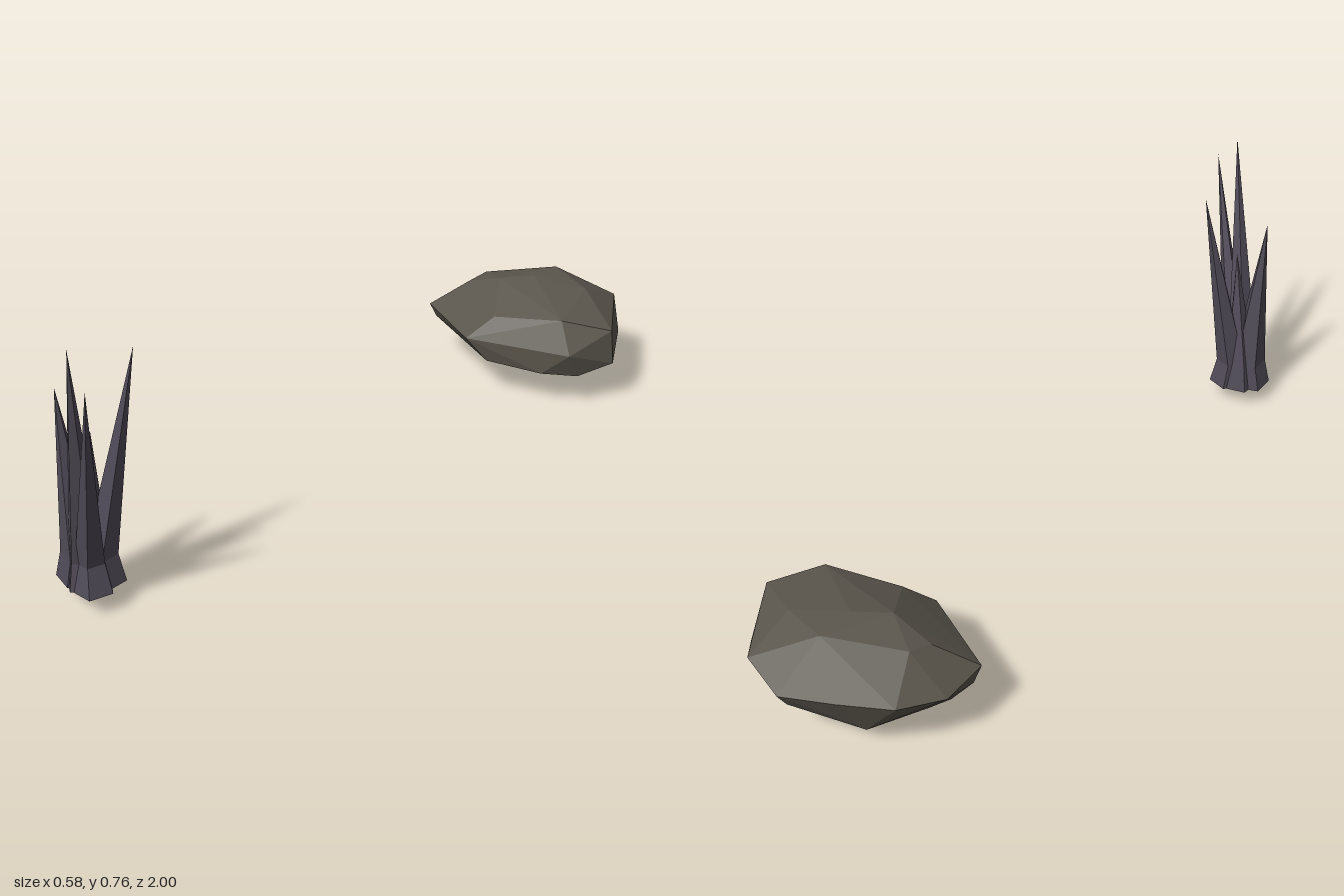
import * as THREE from 'three';
import { ConvexGeometry } from 'three/addons/geometries/ConvexGeometry.js';

const FOOT_Y = 0.055;
const NECK_Y = 0.13;

// Five-sided spike: flared foot, narrow neck, then a long leaning point.
function spikeGeometry([x, z], footRadius, neckRadius, tip, turn) {
  const cone = new THREE.CylinderGeometry(0, 1, 2, 5, 2);
  cone.rotateY(turn);
  const p = cone.attributes.position;
  // neck shifts slightly toward the middle of the clump
  const nx = x + (-0.15 - x) * 0.3;
  const nz = z + (0.86 - z) * 0.2;
  for (let i = 0; i < p.count; i++) {
    const px = p.getX(i), py = p.getY(i), pz = p.getZ(i);
    if (py > 0.5) p.setXYZ(i, ...tip);
    else if (py > -0.5) p.setXYZ(i, nx + px * 2 * neckRadius, NECK_Y, nz + pz * 2 * neckRadius);
    else p.setXYZ(i, x + px * footRadius, FOOT_Y, z + pz * footRadius);
  }
  const flat = cone.toNonIndexed();
  flat.computeVertexNormals();
  return flat;
}

export function createModel() {
  const model = new THREE.Group();
  model.name = 'rockAndSpikes';

  const stone = new THREE.MeshStandardMaterial({ color: 0x5b564d });
  stone.name = 'brown grey stone';
  const thorn = new THREE.MeshStandardMaterial({ color: 0x504b57 });
  thorn.name = 'purple grey thorn';

  // Faceted boulder
  const corners = [
    // underside
    [-0.01, 0.002, -0.77], [-0.19, 0.045, -0.73], [0.14, 0.065, -0.70],
    [0.1, 0.055, -0.87], [-0.12, 0.06, -0.88],
    // right end
    [0.28, 0.225, -0.75], [0.29, 0.125, -0.75], [0.23, 0.1, -0.66],
    [0.225, 0.177, -0.62], [0.225, 0.16, -0.88],
    // front
    [0.175, 0.262, -0.65], [0.145, 0.105, -0.6], [-0.015, 0.24, -0.59],
    [-0.07, 0.177, -0.53], [-0.015, 0.11, -0.56],
    // left end
    [-0.29, 0.175, -0.65], [-0.28, 0.13, -0.67], [-0.25, 0.1, -0.72],
    [-0.285, 0.17, -0.78], [-0.22, 0.19, -0.89],
    // back
    [-0.1, 0.2, -0.96], [0.04, 0.18, -1.0], [0.15, 0.22, -0.97], [0.05, 0.115, -0.96],
    // top
    [-0.2, 0.25, -0.72], [-0.18, 0.265, -0.78], [-0.09, 0.293, -0.72],
    [-0.01, 0.302, -0.78], [0.13, 0.28, -0.84], [0, 0.298, -0.88],
  ].map((c) => new THREE.Vector3(...c));
  const boulder = new THREE.Mesh(new ConvexGeometry(corners), stone);
  boulder.name = 'boulder';
  model.add(boulder);

  // Clump of spikes: foot centre (x, z), foot radius, neck radius, tip, turn
  const clump = new THREE.Group();
  clump.name = 'spikeClump';
  const spikes = [
    [[-0.19, 0.87], 0.056, 0.05, [-0.19, 0.58, 0.895], 0.3],
    [[-0.155, 0.88], 0.052, 0.045, [-0.03, 0.765, 0.985], 0.0],
    [[-0.122, 0.885], 0.052, 0.038, [0.035, 0.69, 1.0], 0.6],
    [[-0.13, 0.84], 0.052, 0.043, [-0.055, 0.68, 0.77], 0.9],
    [[-0.165, 0.845], 0.054, 0.042, [-0.12, 0.477, 0.86], 0.2],
  ];
  for (const spec of spikes) {
    const spike = new THREE.Mesh(spikeGeometry(...spec), thorn);
    spike.name = 'spike';
    clump.add(spike);
  }
  model.add(clump);

  return model;
}
